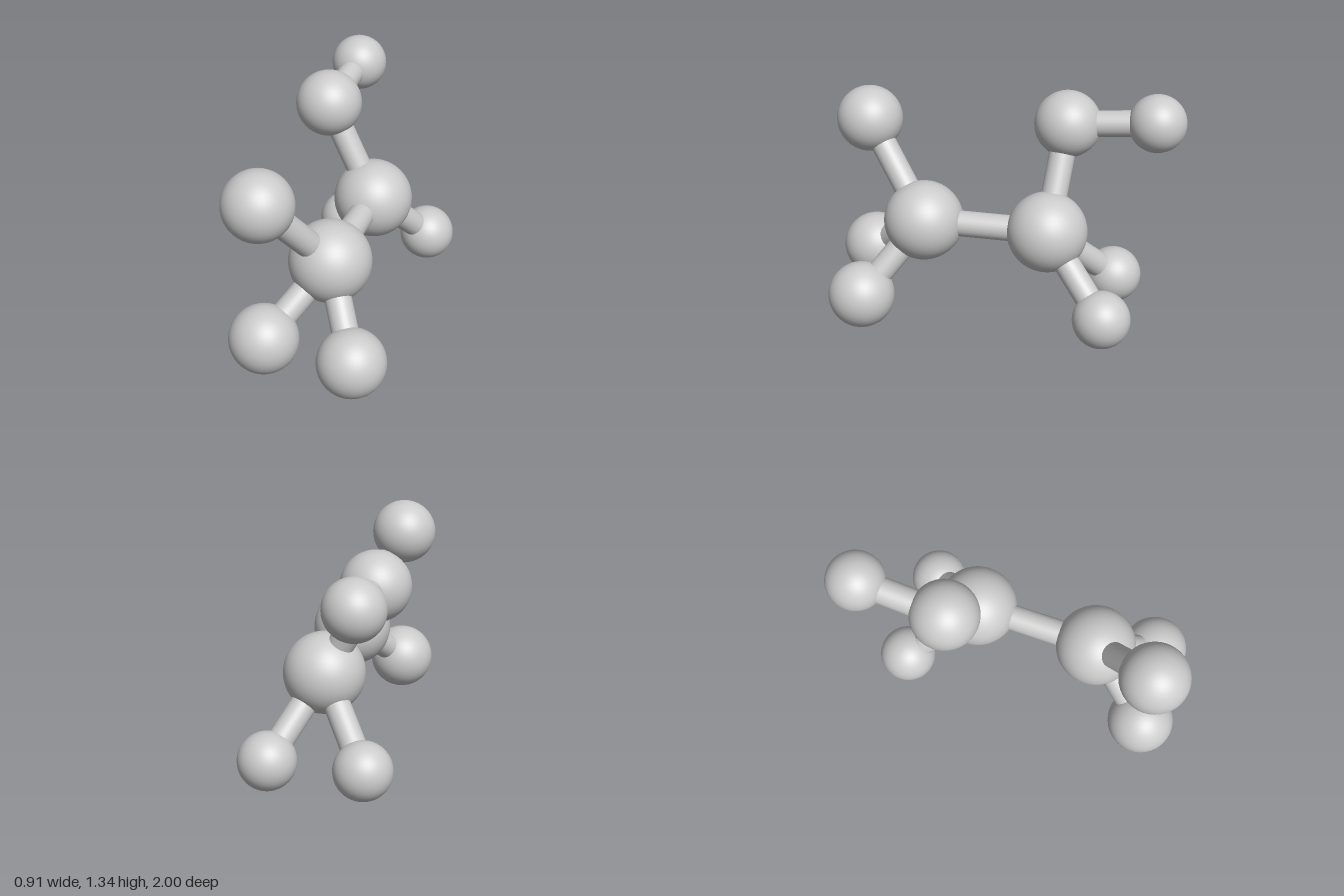
import * as THREE from 'three';

// Ball-and-stick model: balls joined pairwise by cylindrical rods
const BALLS = {
  frontCentre: { p: [0.027, 0.587, 0.438], r: 0.228 },
  backCentre: { p: [0.027, 0.587, -0.278], r: 0.228 },
  frontUpper: { p: [-0.215, 1.088, 0.81], r: 0.19 },
  frontLowerRight: { p: [-0.215, 0.267, 0.81], r: 0.19 },
  frontLowerLeft: { p: [0.262, 0.19, 0.758], r: 0.19 },
  backUpper: { p: [-0.265, 1.13, -0.336], r: 0.19 },
  backTip: { p: [-0.257, 1.177, -0.838], r: 0.163 },
  backLowerRight: { p: [-0.264, 0.195, -0.63], r: 0.163 },
  backLowerLeft: { p: [0.262, 0.195, -0.63], r: 0.163 },
};

const RODS = [
  ['frontCentre', 'backCentre'],
  ['frontCentre', 'frontUpper'],
  ['frontCentre', 'frontLowerRight'],
  ['frontCentre', 'frontLowerLeft'],
  ['backCentre', 'backUpper'],
  ['backCentre', 'backLowerRight'],
  ['backCentre', 'backLowerLeft'],
  ['backUpper', 'backTip'],
];

const ROD_RADIUS = 0.074;

export function createModel() {
  const model = new THREE.Group();
  model.name = 'ballAndStickModel';
  const material = new THREE.MeshStandardMaterial({ color: 0xcccccc });

  // Balls
  for (const [name, { p, r }] of Object.entries(BALLS)) {
    const ball = new THREE.Mesh(new THREE.SphereGeometry(r, 40, 24), material);
    ball.name = `${name}Ball`;
    ball.position.set(...p);
    model.add(ball);
  }

  // Rods, running from ball centre to ball centre
  const up = new THREE.Vector3(0, 1, 0);
  for (const [from, to] of RODS) {
    const a = new THREE.Vector3(...BALLS[from].p);
    const b = new THREE.Vector3(...BALLS[to].p);
    const rod = new THREE.Mesh(
      new THREE.CylinderGeometry(ROD_RADIUS, ROD_RADIUS, a.distanceTo(b), 32, 1, true),
      material,
    );
    rod.name = `${from}To${to[0].toUpperCase()}${to.slice(1)}Rod`;
    rod.position.copy(a).lerp(b, 0.5);
    rod.quaternion.setFromUnitVectors(up, b.clone().sub(a).normalize());
    model.add(rod);
  }

  return model;
}
